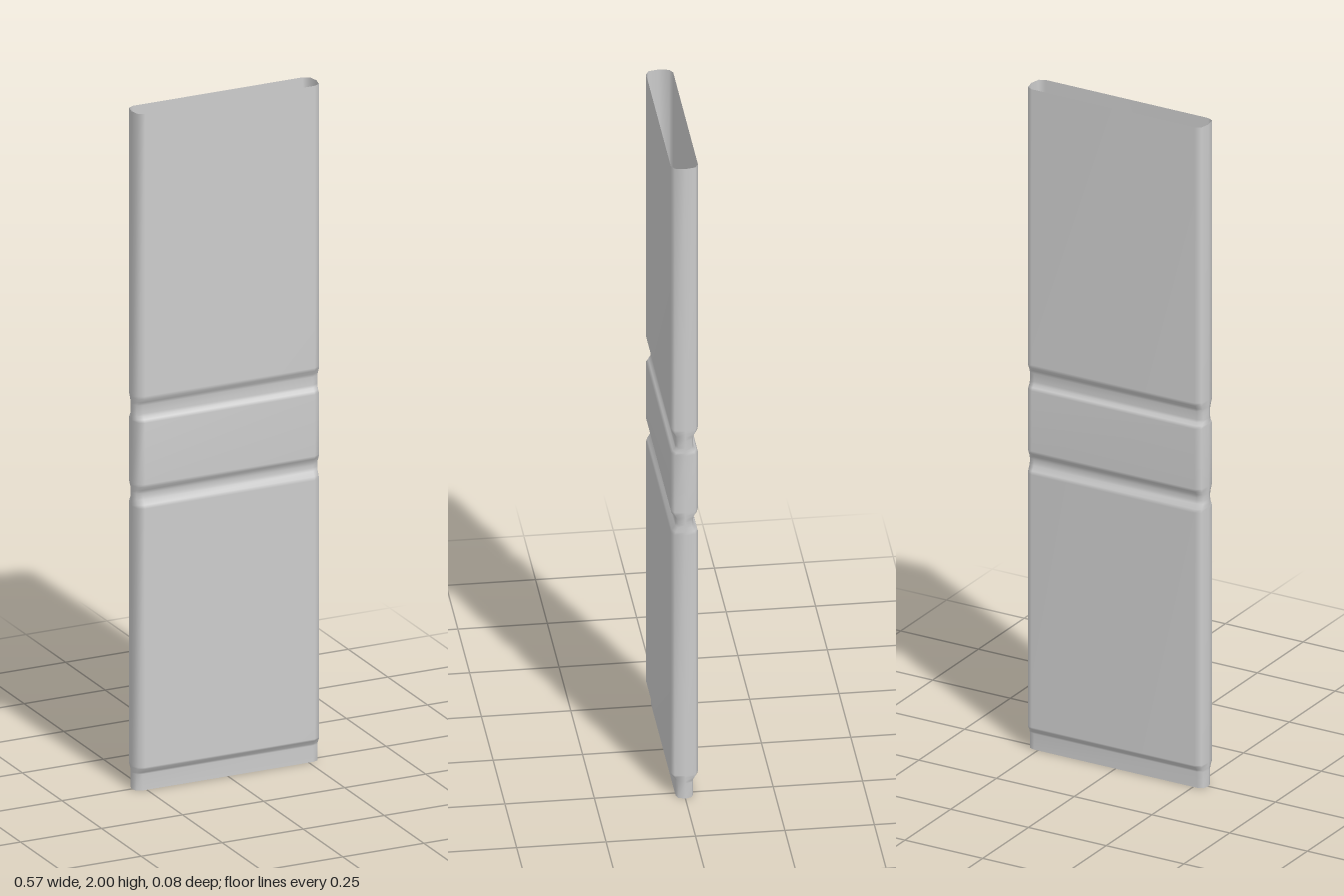
import * as THREE from 'three';

// Outline of the flattened tube, seen from above: [x, z]
const quarter = [[0.285, 0], [0.279, 0.029], [0.262, 0.038]];
const half = [...quarter, ...quarter.slice(1).reverse().map(([x, z]) => [-x, z])];
const outline = [...half, ...half.map(([x, z]) => [-x, -z])];

// Height and thickness factor of each ring: pinched foot and two pressed grooves
const rings = [
  [0, 0.65], [0.048, 0.65], [0.054, 0.7], [0.066, 0.95], [0.072, 1],
  [0.835, 1], [0.845, 0.92], [0.858, 0.68], [0.868, 0.65], [0.876, 0.65], [0.886, 0.7], [0.897, 0.92], [0.907, 1],
  [1.088, 1], [1.096, 0.85], [1.104, 0.68], [1.112, 0.65], [1.136, 0.65], [1.146, 0.75], [1.157, 0.94], [1.167, 1],
  [2, 1],
];

function createSleeve() {
  const positions = [], index = [], n = outline.length;
  rings.forEach(([y, thickness], r) => {
    outline.forEach(([x, z], i) => {
      positions.push(x, y, z * thickness);
      if (r === rings.length - 1) return;
      const a = r * n + i, b = r * n + (i + 1) % n;
      index.push(a, a + n, b, b, a + n, b + n);
    });
  });
  const geometry = new THREE.BufferGeometry();
  geometry.setAttribute('position', new THREE.Float32BufferAttribute(positions, 3));
  geometry.setIndex(index);
  geometry.computeVertexNormals();
  return geometry;
}

export function createModel() {
  const group = new THREE.Group();
  group.name = 'flatTube';
  // Thin wall, open at both ends
  const material = new THREE.MeshStandardMaterial({ color: 0xcccccc, side: THREE.DoubleSide });
  const sleeve = new THREE.Mesh(createSleeve(), material);
  sleeve.name = 'groovedSleeve';
  group.add(sleeve);
  return group;
}
